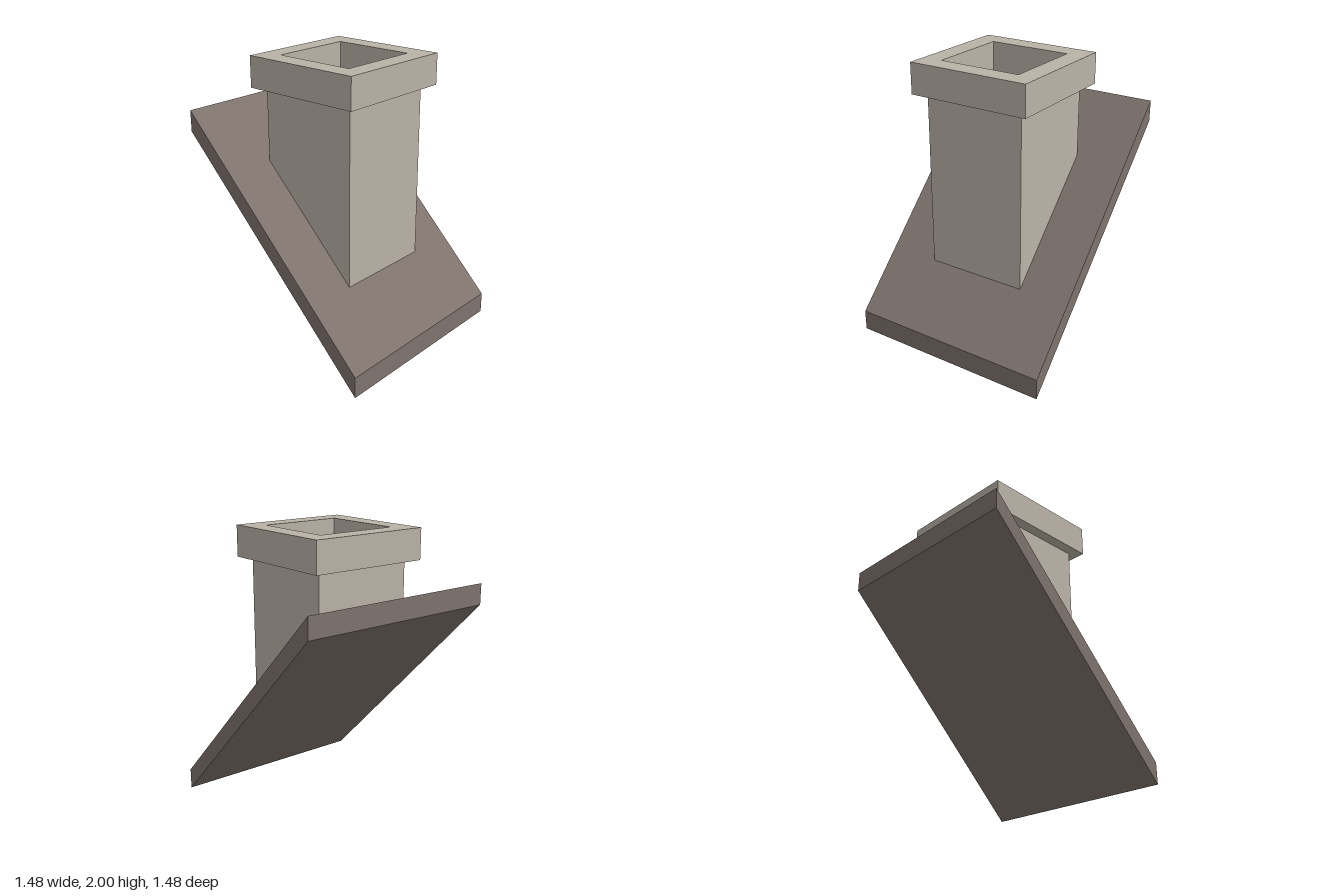
import * as THREE from 'three';

const stone = new THREE.MeshStandardMaterial({ color: 0xbab2a7, flatShading: true });
const roof = new THREE.MeshStandardMaterial({ color: 0x7e726d, flatShading: true });

const ROOF_TOP = 0.89; // height of the sloped roof surface at z = 0

// Closed square outline of half-width h
function square(h, Type) {
  return new Type([[-h, -h], [h, -h], [h, h], [-h, h]].map(([x, y]) => new THREE.Vector2(x, y)));
}

// Upright square tube, standing on y = 0
function squareTube(outer, inner, height) {
  const shape = square(outer, THREE.Shape);
  shape.holes.push(square(inner, THREE.Path));
  return new THREE.ExtrudeGeometry(shape, { depth: height, bevelEnabled: false }).rotateX(-Math.PI / 2);
}

function addPart(group, name, geometry, material) {
  geometry.computeVertexNormals();
  const mesh = new THREE.Mesh(geometry, material);
  mesh.name = name;
  group.add(mesh);
}

export function createModel() {
  const group = new THREE.Group();
  group.name = 'chimneyOnRoof';

  // Roof slab: a flat box sheared upward toward the back, with vertical edges
  const slab = new THREE.BoxGeometry(1.48, 0.15, 1.48).toNonIndexed();
  const sp = slab.attributes.position;
  for (let i = 0; i < sp.count; i++) sp.setY(i, sp.getY(i) + ROOF_TOP - 0.075 - sp.getZ(i));
  addPart(group, 'roofSlab', slab, roof);

  // Hollow shaft: lower end cut to follow the roof slope
  const shaft = squareTube(0.37, 0.3, 1.78);
  const p = shaft.attributes.position;
  for (let i = 0; i < p.count; i++) if (p.getY(i) < 0.5) p.setY(i, ROOF_TOP - p.getZ(i));
  addPart(group, 'chimneyShaft', shaft, stone);

  // Wider rim around the opening
  addPart(group, 'chimneyCap', squareTube(0.445, 0.3, 0.22).translate(0, 1.78, 0), stone);

  return group;
}
